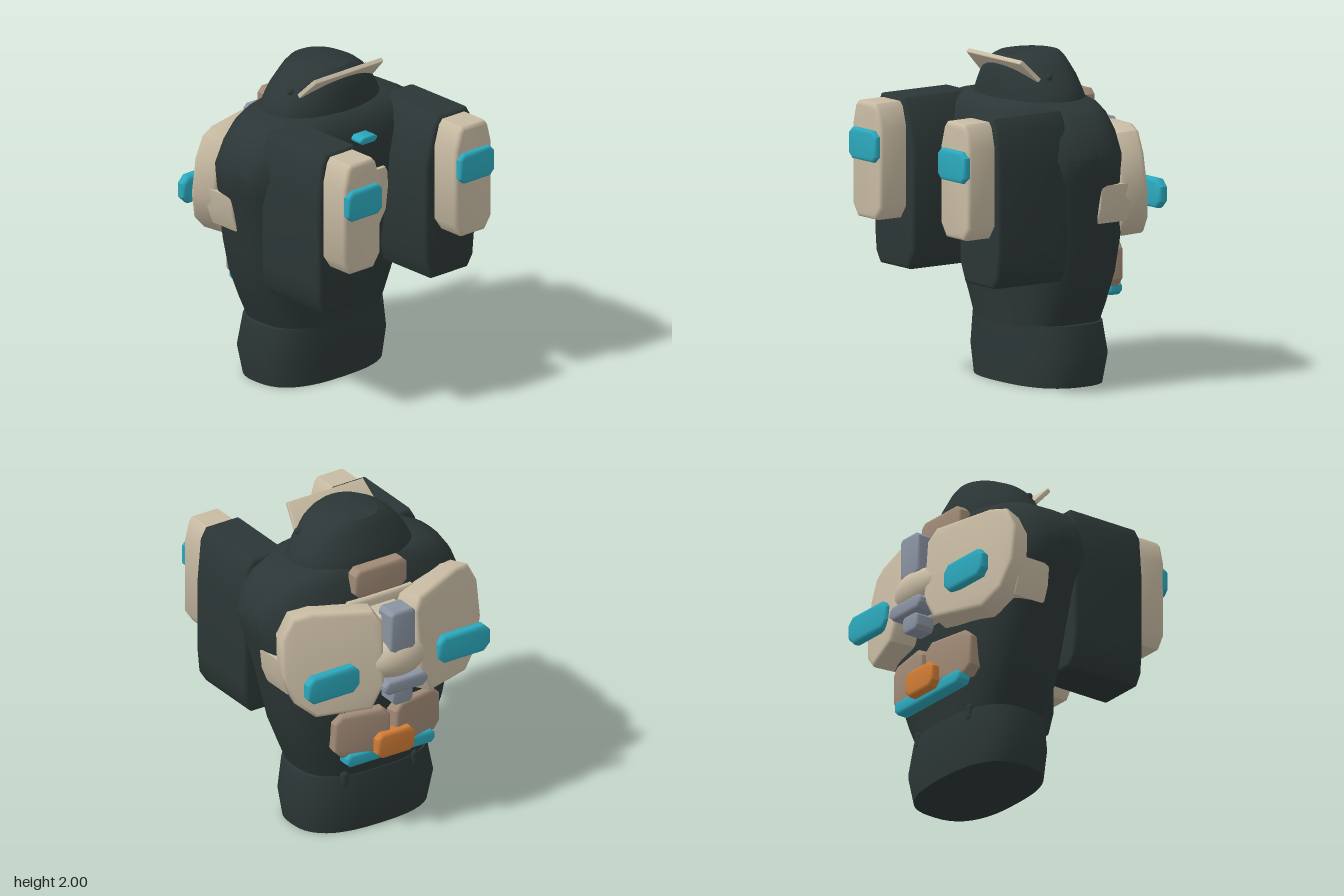
import * as THREE from 'three';
import { toCreasedNormals } from 'three/addons/utils/BufferGeometryUtils.js';

const paint = (name, color) => {
  const m = new THREE.MeshStandardMaterial({ color });
  m.name = name;
  return m;
};

// Closed body lofted through superellipse rings: [y, halfWidth, zFront, zBack]
function loft(rings, power, seg = 40) {
  const pos = [], idx = [];
  for (const [y, w, zf, zb] of rings) {
    const c = (zf + zb) / 2, d = (zf - zb) / 2;
    for (let i = 0; i < seg; i++) {
      const a = (i / seg) * Math.PI * 2, s = Math.sin(a), k = Math.cos(a);
      pos.push(w * Math.sign(s) * Math.abs(s) ** (2 / power), y, c + d * Math.sign(k) * Math.abs(k) ** (2 / power));
    }
  }
  for (let r = 0; r < rings.length - 1; r++) for (let i = 0; i < seg; i++) {
    const a = r * seg + i, b = r * seg + (i + 1) % seg;
    idx.push(a, b, b + seg, a, b + seg, a + seg);
  }
  // Flat end caps
  [0, rings.length - 1].forEach((r, top) => {
    const [y, , zf, zb] = rings[r], centre = pos.length / 3;
    pos.push(0, y, (zf + zb) / 2);
    for (let i = 0; i < seg; i++) {
      const a = r * seg + i, b = r * seg + (i + 1) % seg;
      idx.push(centre, ...(top ? [a, b] : [b, a]));
    }
  });
  const g = new THREE.BufferGeometry();
  g.setAttribute('position', new THREE.Float32BufferAttribute(pos, 3));
  g.setIndex(idx);
  return toCreasedNormals(g, 0.6);
}

// Outline extruded from z0 to z1 with rounded edges kept inside the outline
function slab(pts, z0, z1, b = 0.02) {
  const shape = new THREE.Shape(pts.map(p => new THREE.Vector2(...p)));
  const g = new THREE.ExtrudeGeometry(shape, {
    depth: z1 - z0 - 2 * b, bevelSize: b, bevelThickness: b, bevelOffset: -b, bevelSegments: 3,
  });
  return toCreasedNormals(g.translate(0, 0, z0 + b), 0.75);
}

// Rectangle outline with cut corners
const cut = (x0, x1, y0, y1, cx, cy = cx) => [
  [x0 + cx, y0], [x1 - cx, y0], [x1, y0 + cy], [x1, y1 - cy],
  [x1 - cx, y1], [x0 + cx, y1], [x0, y1 - cy], [x0, y0 + cy],
];
const flip = (pts, s) => pts.map(([x, y]) => [x * s, y]);

export function createModel() {
  const root = new THREE.Group();
  root.name = 'armouredTorso';
  const dark = paint('charcoal', 0x2c3636), tan = paint('sand', 0xc8bba3), teal = paint('teal', 0x2ba8bc);
  const brown = paint('taupe', 0xa08a76), grey = paint('steel', 0x8a93a2), orange = paint('orange', 0xd07c35);
  const add = (name, geo, mat, parent = root) => {
    const m = new THREE.Mesh(geo, mat);
    m.name = name;
    parent.add(m);
    return m;
  };

  // Body
  add('pelvis', loft([
    [0, 0.46, 0.08, -0.5], [0.18, 0.495, 0.09, -0.525], [0.38, 0.46, 0.09, -0.5],
  ], 2.6), dark);
  add('torso', loft([
    [0.36, 0.42, 0.09, -0.49], [0.5, 0.48, 0.105, -0.515], [0.69, 0.555, 0.13, -0.54], [0.9, 0.6, 0.165, -0.56],
    [1.15, 0.655, 0.2, -0.55], [1.3, 0.695, 0.22, -0.53], [1.44, 0.728, 0.23, -0.5], [1.57, 0.68, 0.225, -0.47],
    [1.67, 0.61, 0.2, -0.44], [1.72, 0.52, 0.16, -0.42], [1.745, 0.4, 0.12, -0.4],
  ], 2.8), dark);
  add('head', loft([
    [1.7, 0.41, 0.125, -0.42], [1.74, 0.41, 0.125, -0.42], [1.8, 0.38, 0.12, -0.405], [1.87, 0.335, 0.11, -0.385],
    [1.93, 0.28, 0.095, -0.36], [1.97, 0.23, 0.075, -0.345], [2.0, 0.17, 0.045, -0.325],
  ], 2.2), dark);

  // Tilted brow plate
  const brow = add('browPlate', slab([[-0.3, -0.02], [0.3, -0.02], [0.275, 0.15], [-0.275, 0.15]], -0.015, 0.015, 0.006), tan);
  brow.position.set(0, 1.885, 0.01);
  brow.rotation.x = 0.78;

  // Chest details
  add('chestLight', slab(cut(-0.07, 0.07, 1.575, 1.622, 0.022, 0.018), 0.18, 0.3, 0.01), teal);
  const belly = add('bellyPlate', slab([
    [-0.165, -0.235], [0.165, -0.235], [0.175, -0.175], [0.225, -0.06], [0.225, 0.1],
    [0.205, 0.205], [0.185, 0.235], [-0.185, 0.235], [-0.205, 0.205], [-0.225, 0.1], [-0.225, -0.06], [-0.175, -0.175],
  ], -0.04, 0.012, 0.006), tan);
  belly.position.set(0, 1.125, 0.2);
  belly.rotation.x = 0.13;

  for (const s of [1, -1]) {
    const side = s > 0 ? 'left' : 'right';
    // Forward pods
    add(side + 'Pod', slab(flip([
      [0.29, 0.69], [0.58, 0.69], [0.625, 0.76], [0.638, 0.9], [0.638, 1.4], [0.615, 1.66], [0.575, 1.73],
      [0.345, 1.73], [0.305, 1.67], [0.235, 1.42], [0.235, 0.82],
    ], s), 0.03, 0.55, 0.025), dark);
    add(side + 'PodCover', slab(flip([
      [0.36, 1.0], [0.545, 1.0], [0.6, 1.08], [0.6, 1.56], [0.57, 1.68], [0.545, 1.71],
      [0.365, 1.71], [0.34, 1.68], [0.305, 1.56], [0.305, 1.08],
    ], s), 0.5, 0.742, 0.025), tan);
    add(side + 'PodLight', slab(flip(cut(0.315, 0.596, 1.355, 1.548, 0.035), s), 0.71, 0.775, 0.02), teal);

    // Flank plates
    add(side + 'FlankPlate', slab(flip([
      [0.5, 1.02], [0.625, 1.02], [0.665, 1.12], [0.68, 1.26], [0.5, 1.26],
    ], s), -0.42, -0.19, 0.008), tan);

    // Swept back panels
    const panel = add(side + 'BackPanel', slab(flip([
      [0.02, -0.42], [0.1, -0.57], [0.45, -0.585], [0.58, -0.48], [0.65, -0.3], [0.65, -0.06], [0.58, 0.07],
      [0.46, 0.095], [0.08, 0.06], [0.02, -0.02],
    ], s), 0, 0.17, 0.025), tan);
    panel.position.set(s * 0.1, 1.5, -0.7);
    panel.rotation.set(0.11, -s * 0.35, 0, 'YXZ');
    add(side + 'BackLight', slab(flip(cut(0.285, 0.662, 1.07, 1.25, 0.045), s), -0.7, -0.632, 0.022), teal);

    // Lower back pouches
    const pouch = add(side + 'BackPouch', slab(flip(cut(0, 0.37, 0.565, 0.85, 0.05), s), 0, 0.15, 0.022), brown);
    pouch.position.set(s * 0.02, 0, -0.635);
    pouch.rotation.y = -s * 0.18;

    // Small studs on the hip and head
    const hook = add(side + 'HipHook', new THREE.CapsuleGeometry(0.028, 0.06, 4, 10), dark);
    hook.position.set(s * 0.25, 0.355, -0.465);
    const stud = add(side + 'HeadStud', new THREE.SphereGeometry(0.022, 10, 8), dark);
    stud.position.set(s * 0.31, 1.885, -0.065);
  }

  // Central spine assembly
  add('neckBlock', slab(cut(-0.19, 0.19, 1.57, 1.76, 0.035), -0.503, -0.41, 0.02), brown);
  add('neckPlate', slab(cut(-0.28, 0.28, 1.36, 1.56, 0.05), -0.5, -0.42, 0.02), tan);
  add('spineCore', slab(cut(-0.12, 0.12, 1.0, 1.5, 0.03), -0.64, -0.45, 0.02), tan);
  add('spineBlock', slab(cut(-0.09, 0.09, 1.27, 1.55, 0.025), -0.74, -0.59, 0.02), grey);
  const dome = add('spineDome', new THREE.SphereGeometry(1, 28, 18), tan);
  dome.scale.set(0.21, 0.135, 0.13);
  dome.position.set(0, 1.205, -0.64);
  add('spineBar', slab(cut(-0.155, 0.155, 1.02, 1.11, 0.03), -0.775, -0.62, 0.018), grey);
  add('spineTail', slab(cut(-0.075, 0.075, 0.915, 1.03, 0.025), -0.735, -0.6, 0.015), grey);

  // Lower back details
  add('buckle', slab(cut(-0.135, 0.135, 0.535, 0.7, 0.035), -0.67, -0.58, 0.02), orange);
  add('lowerLight', slab(cut(-0.32, 0.32, 0.505, 0.59, 0.025), -0.61, -0.515, 0.018), teal);

  return root;
}
